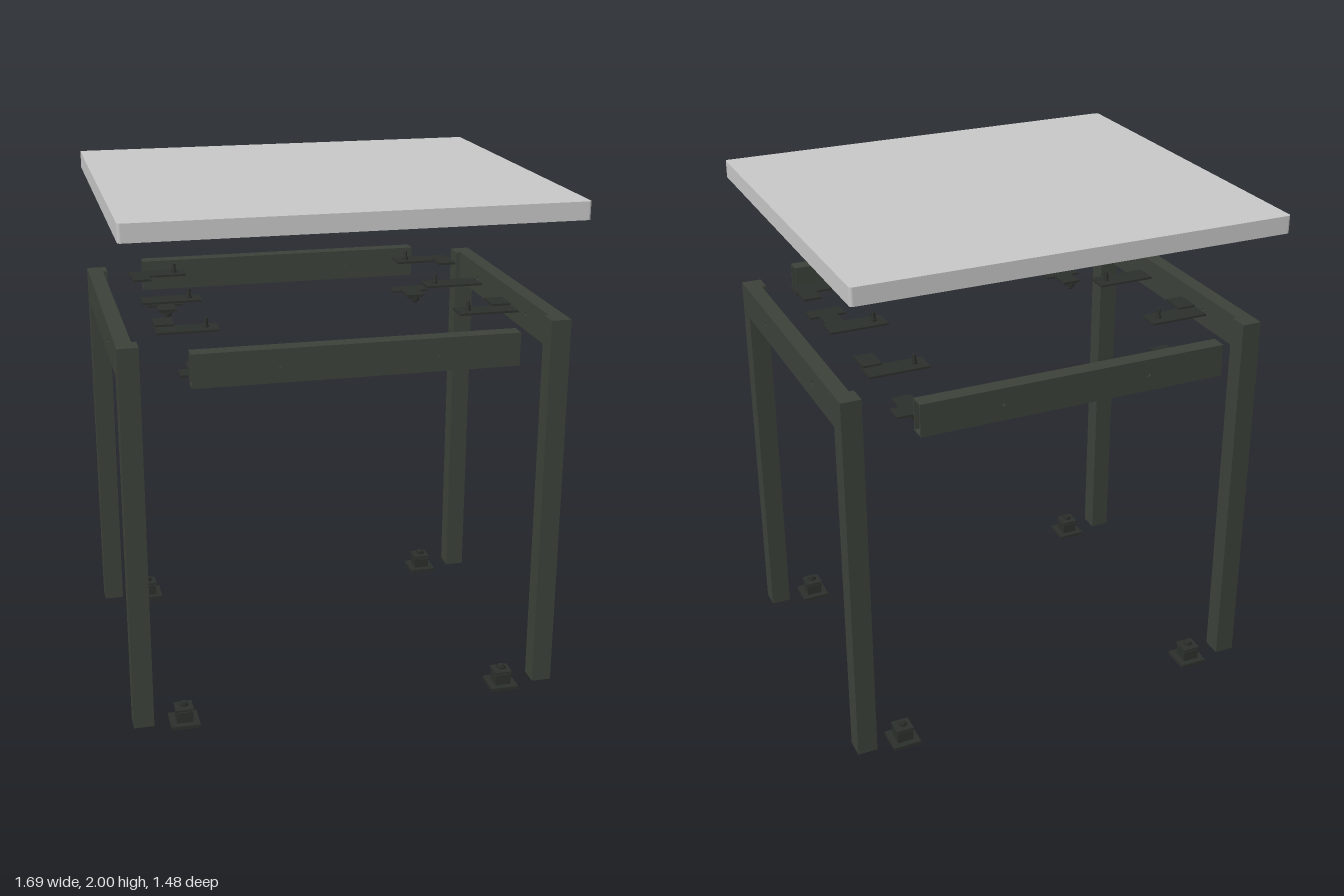
import * as THREE from 'three';

const frameMat = new THREE.MeshStandardMaterial({ color: 0x3c423a });
frameMat.name = 'dark green steel';
const hardwareMat = new THREE.MeshStandardMaterial({ color: 0x2c302c });
hardwareMat.name = 'dark hardware';
const topMat = new THREE.MeshStandardMaterial({ color: 0xc8c8c8 });
topMat.name = 'light grey top';

function add(parent, name, geo, mat, x = 0, y = 0, z = 0) {
  const m = new THREE.Mesh(geo, mat);
  m.name = name;
  m.position.set(x, y, z);
  parent.add(m);
  return m;
}
const box = (parent, name, mat, w, h, d, x, y, z) =>
  add(parent, name, new THREE.BoxGeometry(w, h, d), mat, x, y, z);
const cyl = (parent, name, mat, r1, r2, h, n, x, y, z) =>
  add(parent, name, new THREE.CylinderGeometry(r1, r2, h, n), mat, x, y, z);

function group(parent, name) {
  const g = new THREE.Group();
  g.name = name;
  parent.add(g);
  return g;
}

// Rectangle outline centred on the origin with optional corner radius
function rect(w, h, r = 0, Type = THREE.Shape) {
  const s = new Type();
  const x = w / 2, y = h / 2;
  if (!r) {
    s.moveTo(-x, -y).lineTo(x, -y).lineTo(x, y).lineTo(-x, y).closePath();
    return s;
  }
  s.absarc(x - r, -y + r, r, -Math.PI / 2, 0);
  s.absarc(x - r, y - r, r, 0, Math.PI / 2);
  s.absarc(-x + r, y - r, r, Math.PI / 2, Math.PI);
  s.absarc(-x + r, -y + r, r, Math.PI, Math.PI * 1.5);
  s.closePath();
  return s;
}
const extrude = (shape, depth) =>
  new THREE.ExtrudeGeometry(shape, { depth, bevelEnabled: false, curveSegments: 8 });

// Open box-section rail along x, with two bolt holes through its sides
function rail(parent, name, length, holeX) {
  const g = group(parent, name);
  const h = 0.125, d = 0.06, t = 0.006;
  const side = rect(length, h);
  for (const x of [-holeX, holeX]) {
    const hole = new THREE.Path();
    hole.absarc(x, 0.002, 0.008, 0, Math.PI * 2, true);
    side.holes.push(hole);
  }
  const geo = extrude(side, t);
  add(g, 'railSide', geo, frameMat, 0, 0, d / 2 - t);
  add(g, 'railSide', geo, frameMat, 0, 0, -d / 2);
  for (const s of [1, -1])
    box(g, 'railFlange', frameMat, length, t, d - 2 * t, 0, s * (h / 2 - t / 2), 0);
  return g;
}

// Square hollow leg, capped at the top and open at the foot
function leg(parent, x, z) {
  const g = group(parent, 'leg');
  const section = rect(0.078, 0.078);
  section.holes.push(rect(0.066, 0.066, 0, THREE.Path));
  const geo = extrude(section, 1.51).rotateX(-Math.PI / 2);
  add(g, 'legTube', geo, frameMat, x, 0.02, z);
  box(g, 'legCap', frameMat, 0.066, 0.006, 0.066, x, 1.527, z);
}

// Levelling foot: base plate, plug, washer and nut
function foot(parent, x, z) {
  const g = group(parent, 'foot');
  box(g, 'footBase', hardwareMat, 0.112, 0.014, 0.112, x, 0.007, z);
  box(g, 'footPlug', hardwareMat, 0.064, 0.044, 0.064, x, 0.036, z);
  box(g, 'footWasher', hardwareMat, 0.07, 0.008, 0.07, x, 0.067, z);
  cyl(g, 'footStem', hardwareMat, 0.011, 0.011, 0.04, 12, x, 0.07, z);
  cyl(g, 'footNut', hardwareMat, 0.018, 0.018, 0.012, 6, x, 0.08, z);
}

// Screw pointing up, with its head on the plate
function screw(parent, x, z) {
  const g = group(parent, 'screw');
  cyl(g, 'screwShank', hardwareMat, 0.007, 0.009, 0.034, 12, x, 1.556, z);
  cyl(g, 'screwCollar', hardwareMat, 0.012, 0.012, 0.008, 12, x, 1.541, z);
}

// Lower corner bracket with two hanging bolts
function cornerBracket(parent, sx, sz) {
  const g = group(parent, 'cornerBracket');
  box(g, 'bracketPlate', hardwareMat, 0.15, 0.008, 0.075, sx * 0.536, 1.388, sz * 0.487);
  box(g, 'bracketArm', hardwareMat, 0.075, 0.008, 0.085, sx * 0.536, 1.388, sz * 0.412);
  box(g, 'bracketPad', hardwareMat, 0.06, 0.008, 0.13, sx * 0.536, 1.38, sz * 0.44);
  for (const z of [0.487, 0.385]) {
    cyl(g, 'bracketBoltHead', hardwareMat, 0.018, 0.018, 0.014, 6, sx * 0.536, 1.37, sz * z);
    cyl(g, 'bracketBoltTip', hardwareMat, 0.011, 0.008, 0.008, 12, sx * 0.536, 1.359, sz * z);
  }
}

export function createModel() {
  const model = new THREE.Group();
  model.name = 'explodedTable';

  // Table top
  const topGeo = extrude(rect(1.672, 1.48, 0.012), 0.067).rotateX(-Math.PI / 2);
  add(model, 'tableTop', topGeo, topMat, 0, 1.933, 0);

  // Front and back rails
  for (const s of [1, -1])
    rail(model, s > 0 ? 'frontRail' : 'backRail', 1.2, 0.289).position.set(0, 1.4675, s * 0.693);

  for (const sx of [1, -1]) {
    // Side frame
    const frame = group(model, sx > 0 ? 'leftFrame' : 'rightFrame');
    const side = rail(frame, 'sideRail', 1.05, 0.289);
    side.rotation.y = Math.PI / 2;
    side.position.set(sx * 0.813, 1.4675, 0);
    for (const sz of [1, -1]) leg(frame, sx * 0.804, sz * 0.564);

    // Threaded inserts, mounting plates and screws
    for (const z of [-0.42, 0, 0.42]) {
      cyl(model, 'insert', hardwareMat, 0.0145, 0.0145, 0.038, 16, sx * 0.5, 1.888, z);
      box(model, 'mountingPlate', hardwareMat, 0.23, 0.008, 0.09, sx * 0.57, 1.534, z);
      screw(model, sx * 0.5, z);
    }

    for (const sz of [1, -1]) {
      // Raised tab that makes the corner plate an L
      box(model, 'plateTab', hardwareMat, 0.072, 0.009, 0.098, sx * 0.646, 1.541, sz * 0.338);
      cornerBracket(model, sx, sz);
      foot(model, sx * 0.645, sz * 0.564);
    }
  }
  return model;
}
